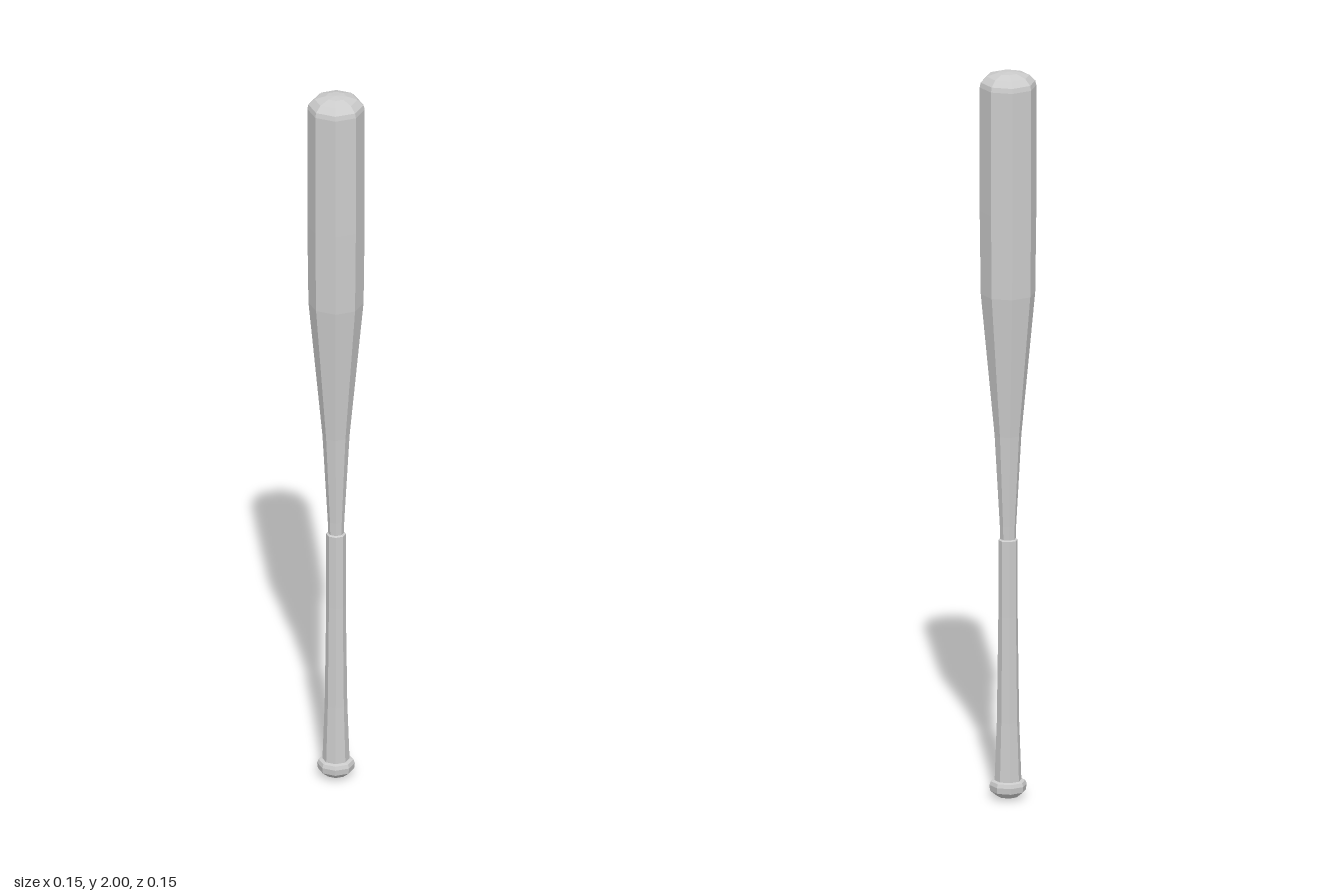
import * as THREE from 'three';

export function createModel() {
  const bat = new THREE.Group();
  bat.name = 'bat';
  const grey = new THREE.MeshStandardMaterial({ color: 0xcccccc });
  grey.name = 'light grey';

  // Eight-sided turned part with flat facets; profile is [radius, height] from bottom to top
  function turned(name, profile) {
    const points = profile.map(([r, y]) => new THREE.Vector2(r, y));
    const geometry = new THREE.LatheGeometry(points, 8).toNonIndexed();
    geometry.computeVertexNormals();
    const mesh = new THREE.Mesh(geometry, grey);
    mesh.name = name;
    bat.add(mesh);
  }

  // Knob at the butt end
  turned('knob', [[0, 0], [0.028, 0.004], [0.048, 0.02], [0.05, 0.036], [0.046, 0.046], [0.03, 0.05], [0, 0.05]]);

  // Wrapped grip, slightly thicker than the neck
  turned('grip', [[0, 0.046], [0.036, 0.046], [0.03, 0.21], [0.026, 0.5], [0.026, 0.71], [0, 0.725]]);

  // Neck swelling into the barrel with a rounded cap
  turned('barrel', [
    [0, 0.69], [0.02, 0.69], [0.022, 0.75], [0.036, 1.0], [0.073, 1.39],
    [0.076, 1.62], [0.076, 1.96], [0.073, 1.973], [0.057, 1.989], [0.028, 1.998], [0, 2],
  ]);

  return bat;
}
